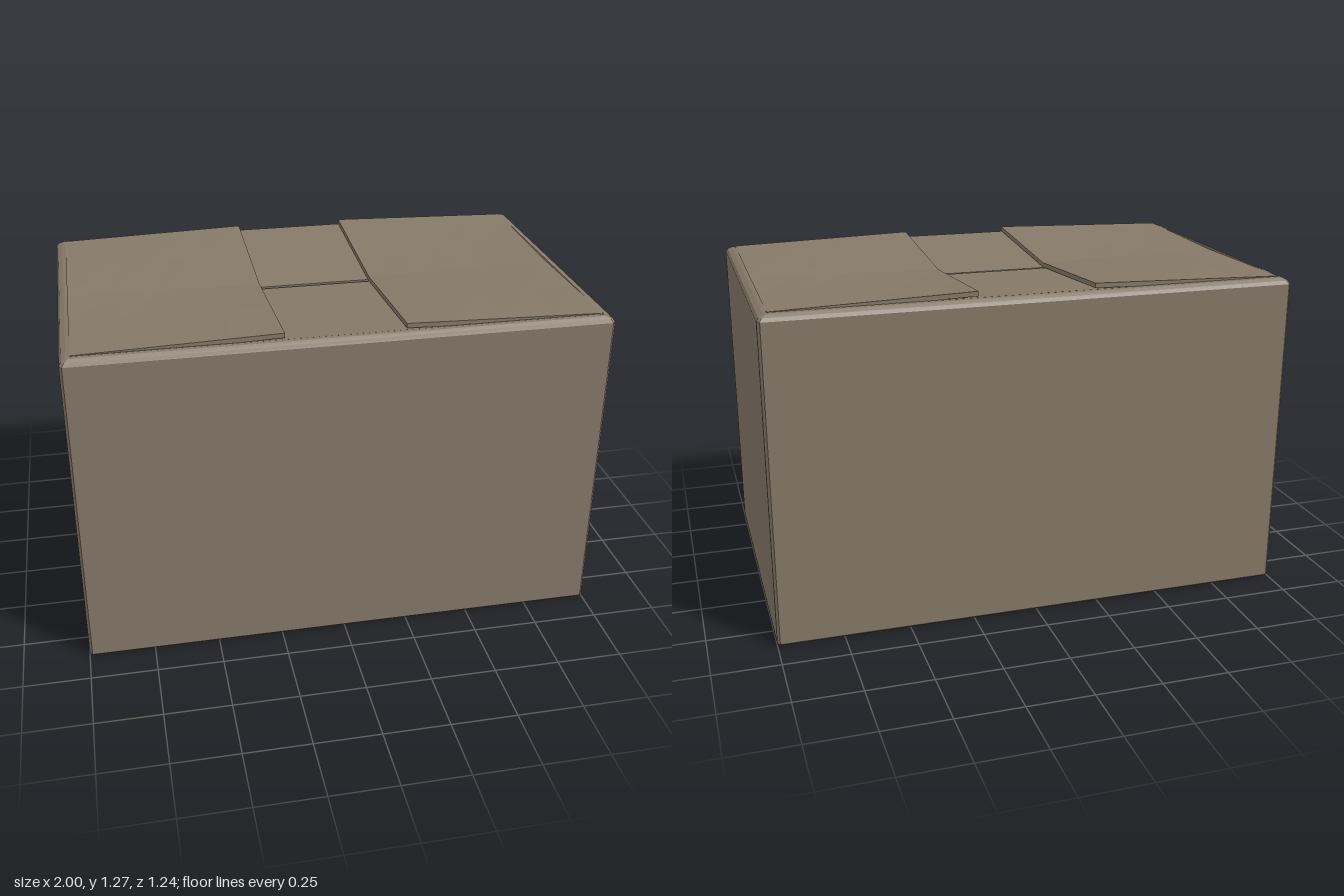
import * as THREE from 'three';

const HALF_X = 1, HALF_Z = 0.622, RIM_Y = 1.25;

// Open carton: chamfered rectangular rings [y, insetX, insetZ] joined upwards, closed at the floor
function bodyGeometry() {
  const rings = [[0, 0.008, 0.008], [0.008, 0, 0], [1.225, 0, 0], [1.238, 0.008, 0.007],
    [1.247, 0.025, 0.02], [RIM_Y, 0.04, 0.033]];
  const pos = [], index = [], c = 0.01, n = 8;
  for (const [y, ix, iz] of rings) {
    const x = HALF_X - ix, z = HALF_Z - iz;
    const outline = [[x, z - c], [x, c - z], [x - c, -z], [c - x, -z],
      [-x, c - z], [-x, z - c], [c - x, z], [x - c, z]];
    for (const [px, pz] of outline) pos.push(px, y, pz);
  }
  for (let r = 0; r < rings.length - 1; r++) {
    for (let i = 0; i < n; i++) {
      const a = r * n + i, b = r * n + (i + 1) % n;
      index.push(a, b, b + n, a, b + n, a + n);
    }
  }
  for (let i = 1; i < n - 1; i++) index.push(0, i + 1, i);
  const g = new THREE.BufferGeometry();
  g.setAttribute('position', new THREE.Float32BufferAttribute(pos, 3));
  g.setIndex(index);
  const flat = g.toNonIndexed();
  flat.computeVertexNormals();
  return flat;
}

// Thin plate between x0..x1 and z0..z1 whose top follows topAt(x, z)
function plateGeometry(x0, x1, z0, z1, thickness, topAt) {
  const g = new THREE.BoxGeometry(x1 - x0, thickness, z1 - z0, 4, 1, 4);
  g.translate((x0 + x1) / 2, -thickness / 2, (z0 + z1) / 2);
  const p = g.attributes.position;
  for (let i = 0; i < p.count; i++) {
    p.setY(i, p.getY(i) + topAt(p.getX(i), p.getZ(i)));
  }
  g.computeVertexNormals();
  return g;
}

export function createModel() {
  const group = new THREE.Group();
  const cardboard = new THREE.MeshStandardMaterial({
    color: 0x857968, flatShading: true, side: THREE.DoubleSide });
  const add = (name, geometry) => {
    const mesh = new THREE.Mesh(geometry, cardboard);
    mesh.name = name;
    group.add(mesh);
  };

  add('boxBody', bodyGeometry());

  // Lower flaps sag from the long rims towards a narrow gap in the middle
  const lowerTop = (x, z) => 1.207 + 0.043 * Math.abs(z) / 0.59;
  add('frontFlap', plateGeometry(-0.96, 0.96, 0.0, 0.59, 0.02, lowerTop));
  add('backFlap', plateGeometry(-0.96, 0.96, -0.59, -0.016, 0.02, lowerTop));

  // Upper flaps rest on them: free corners lift, the middle is creased downwards
  const upperTop = (x, z) => {
    const u = (0.962 - Math.abs(x)) / 0.742;
    return 1.251 + 0.021 * u - (1 - Math.abs(z) / 0.585) * (0.01 + 0.035 * u);
  };
  add('leftFlap', plateGeometry(0.22, 0.962, -0.585, 0.585, 0.018, upperTop));
  add('rightFlap', plateGeometry(-0.962, -0.22, -0.585, 0.585, 0.018, upperTop));

  return group;
}
